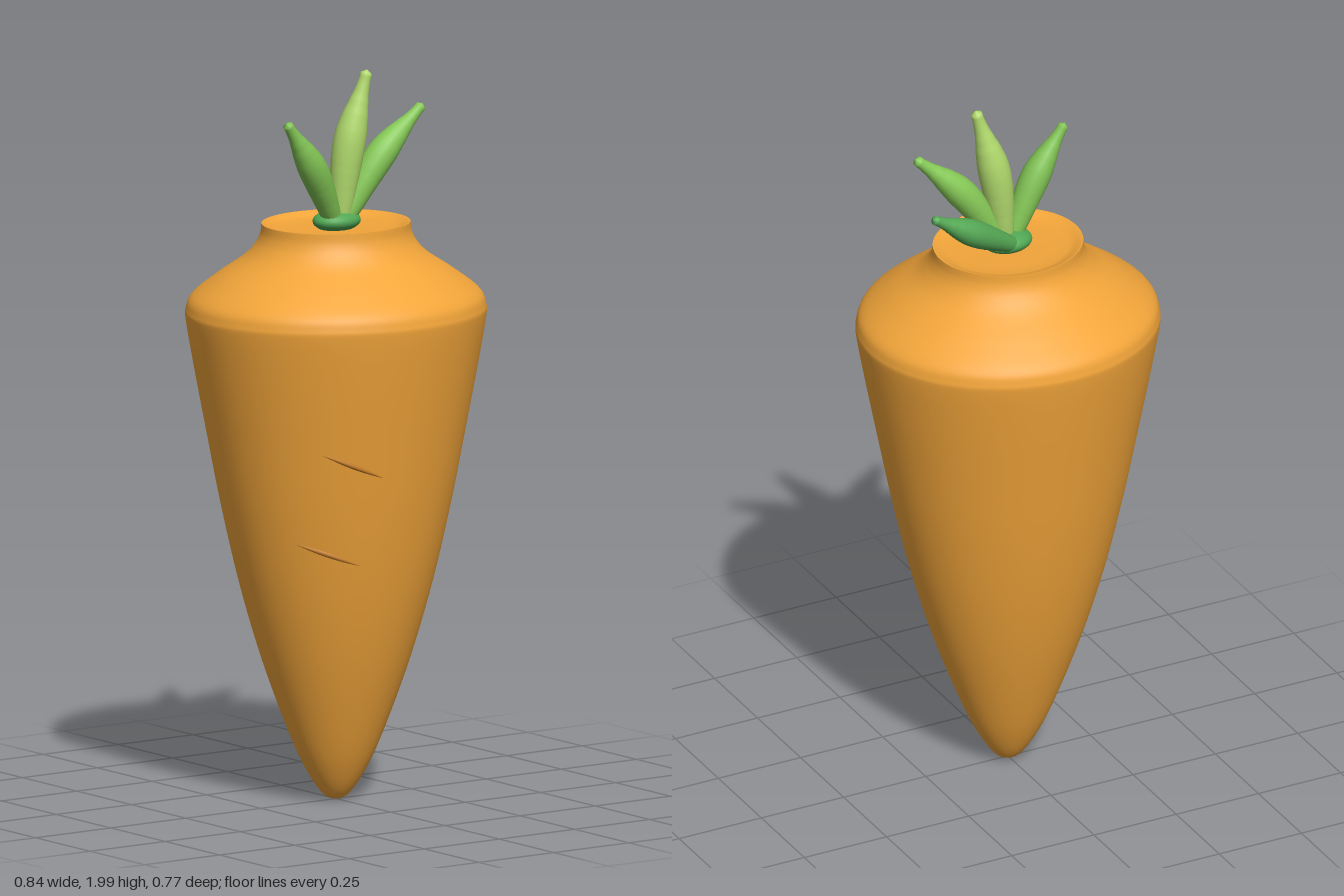
import * as THREE from 'three';

const mat = (color) => new THREE.MeshStandardMaterial({ color, side: THREE.DoubleSide });
const DEPTH = 0.913; // the root is slightly flattened front to back

const rootCurve = new THREE.SplineCurve([
  [0, 0.008], [0.035, 0.022], [0.08, 0.085], [0.13, 0.19], [0.205, 0.39], [0.268, 0.6], [0.32, 0.82],
  [0.362, 1.03], [0.395, 1.2], [0.417, 1.325], [0.417, 1.36], [0.4, 1.395], [0.335, 1.445],
  [0.26, 1.495], [0.226, 1.53], [0.211, 1.56], [0.207, 1.588],
].map(([r, y]) => new THREE.Vector2(r, y)));
const profile = rootCurve.getPoints(96);

function lathe(name, points, color) {
  const mesh = new THREE.Mesh(new THREE.LatheGeometry(points, 64), mat(color));
  mesh.name = name;
  mesh.scale.z = DEPTH;
  return mesh;
}

// Front surface depth of the root at x, y
function frontZ(x, y) {
  const i = profile.findIndex((p) => p.y >= y);
  const a = profile[i - 1], b = profile[i];
  const r = a.x + (b.x - a.x) * (y - a.y) / (b.y - a.y);
  return DEPTH * Math.sqrt(Math.max(0, r * r - x * x));
}

// Round tube along points, its radius following a list of [t, radius]
function taperedTube(name, points, radii, color, radial = 20) {
  const steps = 48;
  const curve = new THREE.CatmullRomCurve3(points.map((p) => new THREE.Vector3(...p)));
  const geo = new THREE.TubeGeometry(curve, steps, 1, radial);
  const radiusCurve = new THREE.SplineCurve(radii.map(([t, r]) => new THREE.Vector2(t, r)));
  const samples = radiusCurve.getPoints(200);
  const pos = geo.attributes.position, nor = geo.attributes.normal;
  const v = new THREE.Vector3(), n = new THREE.Vector3();
  for (let j = 0; j <= steps; j++) {
    const t = j / steps;
    const r = (samples.find((s) => s.x >= t - 1e-6) ?? samples[200]).y;
    const centre = curve.getPointAt(t);
    for (let i = 0; i <= radial; i++) {
      const k = j * (radial + 1) + i;
      n.fromBufferAttribute(nor, k);
      v.copy(centre).addScaledVector(n, Math.max(r, 0));
      pos.setXYZ(k, v.x, v.y, v.z);
    }
  }
  geo.computeVertexNormals();
  // Weld the normals along the tube's seam
  for (let j = 0; j <= steps; j++) {
    const a = j * (radial + 1), b = a + radial;
    v.fromBufferAttribute(nor, a).add(n.fromBufferAttribute(nor, b)).normalize();
    nor.setXYZ(a, v.x, v.y, v.z);
    nor.setXYZ(b, v.x, v.y, v.z);
  }
  const mesh = new THREE.Mesh(geo, mat(color));
  mesh.name = name;
  return mesh;
}

export function createModel() {
  const model = new THREE.Group();
  model.name = 'carrot';

  // Root and its shallow dished top
  model.add(lathe('root', profile, 0xf2a53a));
  const dish = [[0.207, 1.588], [0.198, 1.587], [0.185, 1.579], [0.165, 1.573], [0.12, 1.571], [0, 1.57]];
  model.add(lathe('dishedTop', dish.map(([r, y]) => new THREE.Vector2(r, y)), 0xf2a53a));

  // Thin creases lying on the front of the root
  const creaseRadii = [[0, 0], [0.25, 0.005], [0.5, 0.007], [0.75, 0.005], [1, 0]];
  [[-0.23, 1.01, -0.065, 0.938], [-0.252, 0.755, -0.1, 0.692]].forEach(([x0, y0, x1, y1], i) => {
    const points = [];
    for (let k = 0; k <= 6; k++) {
      const x = x0 + (x1 - x0) * k / 6, y = y0 + (y1 - y0) * k / 6;
      points.push([x, y, frontZ(x, y) + 0.001]);
    }
    model.add(taperedTube('crease' + (i + 1), points, creaseRadii, 0xc07a26, 8));
  });

  // Small green collar joining the leaves
  const collar = new THREE.Mesh(new THREE.SphereGeometry(1, 32, 16), mat(0x4fa653));
  collar.name = 'leafCollar';
  collar.scale.set(0.07, 0.03, 0.055);
  collar.position.set(0, 1.593, 0.003);
  model.add(collar);

  // Leaves: narrow foot, full middle, pinched blunt tip
  const leafShape = [[0, 0.55], [0.2, 0.78], [0.48, 1], [0.65, 0.9], [0.85, 0.48], [0.94, 0.36], [0.98, 0.34], [1, 0]];
  const leaves = [
    ['leftLeaf', [[-0.01, 1.58, 0.01], [-0.1, 1.745, 0.034], [-0.195, 1.885, 0.042]], 0.04, 0x7fc052],
    ['centreLeaf', [[0.005, 1.58, 0.01], [0.033, 1.8, 0.014], [0.085, 2.0, 0.026]], 0.044, 0xb0d96c],
    ['rightLeaf', [[0.01, 1.58, 0.01], [0.125, 1.755, 0.024], [0.262, 1.89, 0.038]], 0.041, 0x86c957],
    ['backLeaf', [[-0.005, 1.59, -0.025], [0.13, 1.675, -0.06], [0.268, 1.762, -0.076]], 0.037, 0x55a855],
  ];
  for (const [name, points, r, color] of leaves) {
    model.add(taperedTube(name, points, leafShape.map(([t, k]) => [t, k * r]), color));
  }
  return model;
}
